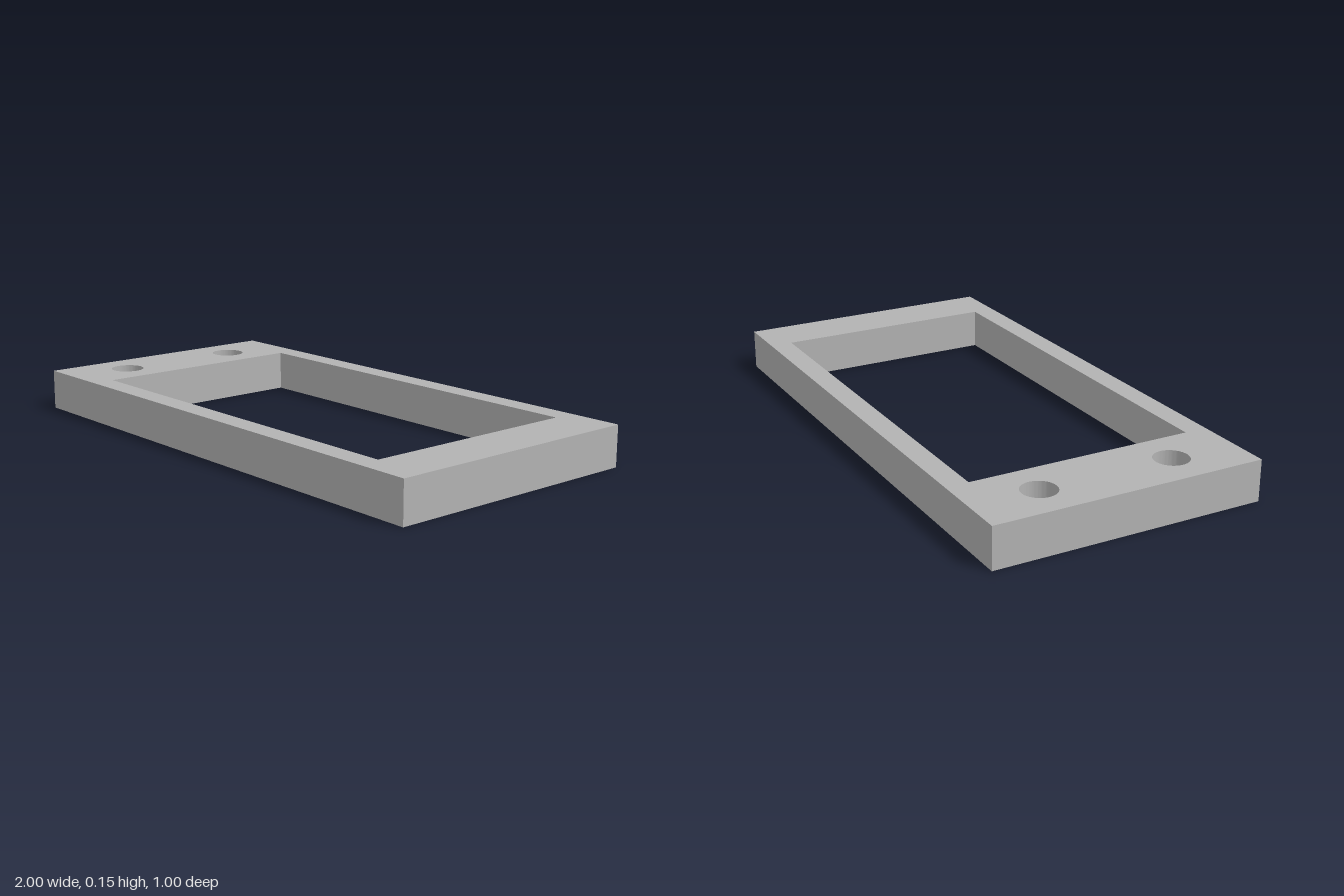
import * as THREE from 'three';
import { toCreasedNormals } from 'three/addons/utils/BufferGeometryUtils.js';

const THICKNESS = 0.15;

// Closed rectangle between two opposite corners
function rectangle(path, x0, y0, x1, y1) {
  path.moveTo(x0, y0);
  path.lineTo(x1, y0);
  path.lineTo(x1, y1);
  path.lineTo(x0, y1);
  path.closePath();
  return path;
}

export function createModel() {
  const group = new THREE.Group();
  group.name = 'mountingFrame';

  const grey = new THREE.MeshStandardMaterial({ color: 0xb2b2b2 });
  grey.name = 'grey';

  // Plate outline with an off-centre rectangular window
  const outline = rectangle(new THREE.Shape(), -1, -0.5, 1, 0.5);
  outline.holes.push(rectangle(new THREE.Path(), -0.7, -0.417, 0.8, 0.417));

  // Two round screw holes in the wide right-hand bar
  for (const side of [-1, 1]) {
    const hole = new THREE.Path();
    hole.absarc(-0.85, side * 0.25, 0.0625, 0, Math.PI * 2, true);
    outline.holes.push(hole);
  }

  // Extrude upwards, keeping hole walls smooth and edges sharp
  const extruded = new THREE.ExtrudeGeometry(outline, {
    depth: THICKNESS,
    bevelEnabled: false,
    curveSegments: 48,
  });
  extruded.rotateX(-Math.PI / 2);

  const frame = new THREE.Mesh(toCreasedNormals(extruded, Math.PI / 6), grey);
  frame.name = 'framePlate';
  group.add(frame);

  return group;
}
